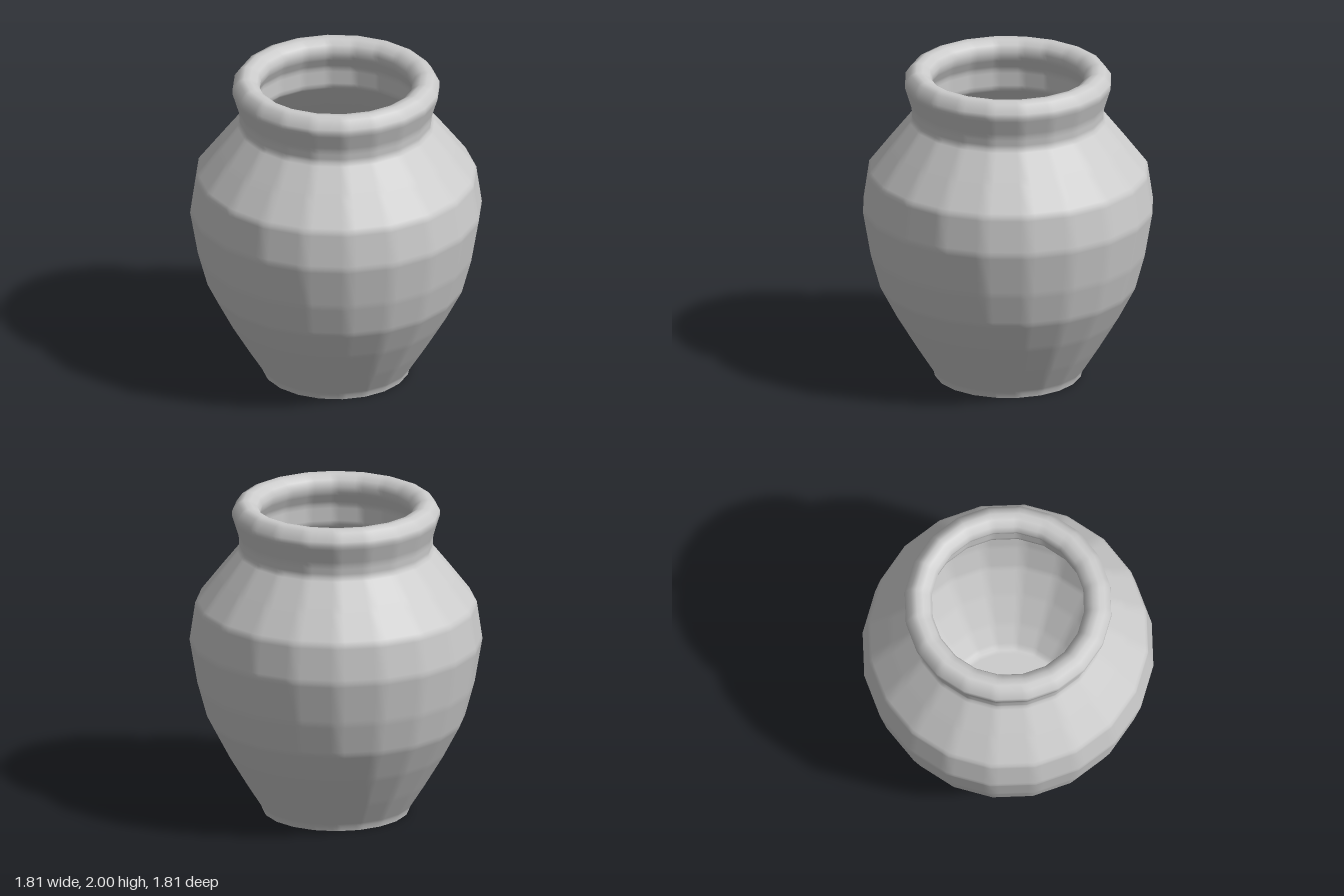
import * as THREE from 'three';
import { mergeVertices } from 'three/addons/utils/BufferGeometryUtils.js';

const SIDES = 20;   // facets around the pot
const STEPS = 6;    // columns per facet, so only the corners blend

// Adds a point close to both ends of long profile segments: flat bands, soft edges
function softenProfile(points, gap = 0.025) {
  const out = [];
  points.forEach((p, i) => {
    out.push(p);
    const next = points[i + 1];
    if (!next) return;
    const t = gap / p.distanceTo(next);
    if (t < 0.35) out.push(p.clone().lerp(next, t), p.clone().lerp(next, 1 - t));
  });
  return out;
}

// Turns a profile, then pulls the round surface in onto a regular polygon
function facetedLathe(profile) {
  const points = softenProfile(profile.map(([r, y]) => new THREE.Vector2(r, y)));
  let geo = new THREE.LatheGeometry(points, SIDES * STEPS);
  const pos = geo.attributes.position;
  const sector = (Math.PI * 2) / SIDES;
  for (let i = 0; i < pos.count; i++) {
    const x = pos.getX(i), z = pos.getZ(i);
    const a = Math.atan2(x, z) + Math.PI * 2 + 1e-6;
    const local = (a % sector) - sector / 2;
    const k = Math.cos(sector / 2) / Math.cos(local);
    pos.setXYZ(i, x * k, pos.getY(i), z * k);
  }
  geo.deleteAttribute('uv');
  geo.deleteAttribute('normal');
  geo = mergeVertices(geo, 1e-4);
  geo.computeVertexNormals();
  return geo;
}

export function createModel() {
  const group = new THREE.Group();
  group.name = 'pot';
  const material = new THREE.MeshStandardMaterial({ color: 0xcccccc });
  const add = (name, profile) => {
    const mesh = new THREE.Mesh(facetedLathe(profile), material);
    mesh.name = name;
    group.add(mesh);
  };

  // Flat underside
  add('base', [[0, 0], [0.455, 0]]);

  // Outer wall, rolled rim, inner wall and floor as one continuous shell
  add('body', [
    [0.455, 0], [0.462, 0.03], [0.57, 0.2], [0.69, 0.4], [0.795, 0.6],
    [0.855, 0.82], [0.903, 1.1], [0.868, 1.34], [0.73, 1.52], [0.595, 1.69],
    [0.6, 1.77], [0.642, 1.905], [0.64, 1.935], [0.605, 1.985], [0.57, 2],
    [0.53, 1.995], [0.49, 1.97], [0.472, 1.93], [0.478, 1.89],
    [0.52, 1.8], [0.52, 1.67], [0.66, 1.48], [0.79, 1.31],
    [0.825, 1.1], [0.78, 0.83], [0.72, 0.62], [0.615, 0.42], [0.49, 0.22],
    [0.39, 0.09], [0.37, 0.08], [0, 0.08],
  ]);

  return group;
}
